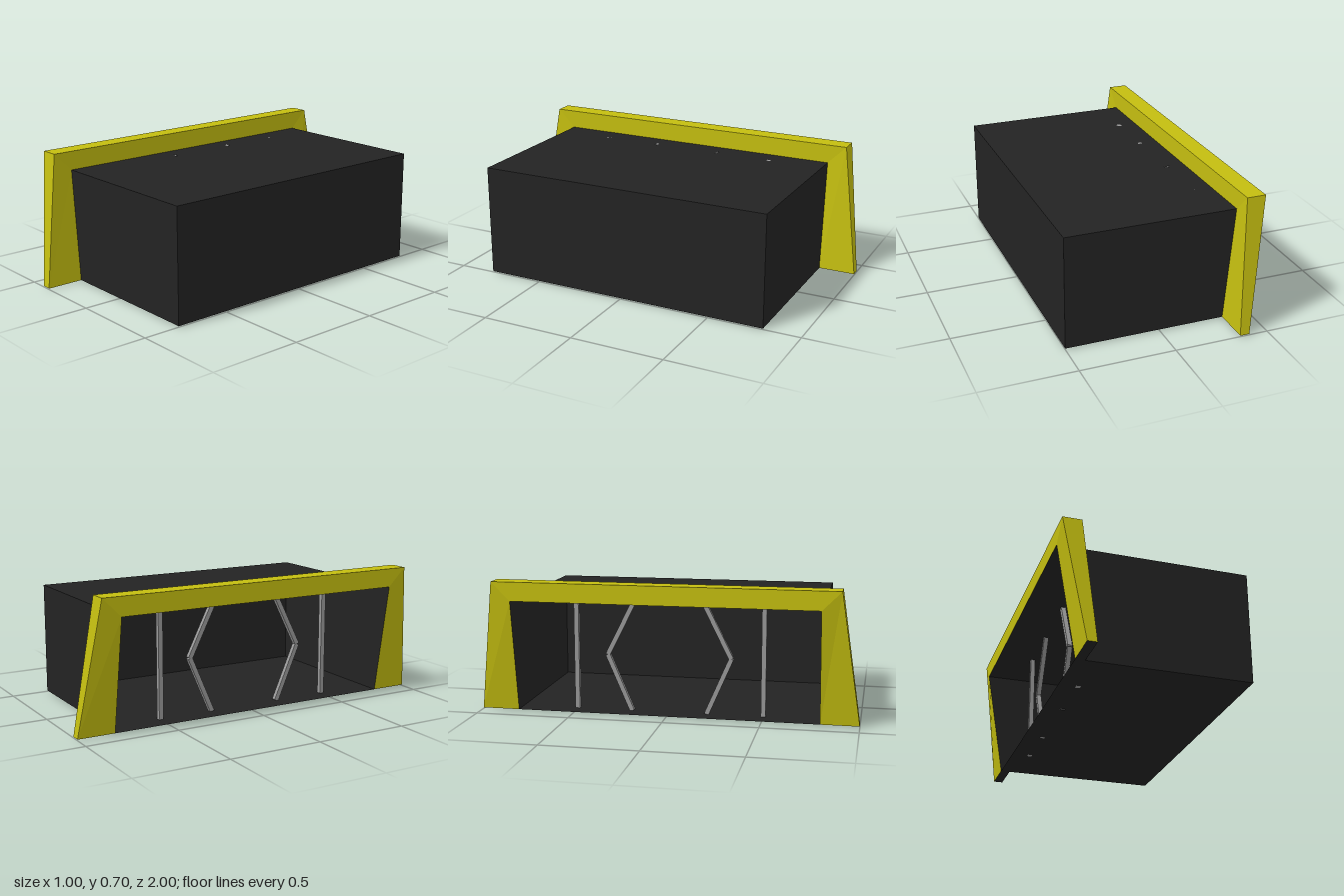
import * as THREE from 'three';

const yellow = new THREE.MeshStandardMaterial({ name: 'frameYellow', color: 0xc4be10, side: THREE.DoubleSide });
const black = new THREE.MeshStandardMaterial({ name: 'shellBlack', color: 0x232323, side: THREE.DoubleSide });
const grey = new THREE.MeshStandardMaterial({ name: 'barGrey', color: 0x999999 });

// flat-shaded geometry from four-cornered faces
function quads(faces) {
  const pos = [];
  for (const [a, b, c, d] of faces) for (const p of [a, b, c, a, c, d]) pos.push(...p);
  const geo = new THREE.BufferGeometry();
  geo.setAttribute('position', new THREE.Float32BufferAttribute(pos, 3));
  geo.computeVertexNormals();
  return geo;
}

function addMesh(group, name, geo, mat) {
  const mesh = new THREE.Mesh(geo, mat);
  mesh.name = name;
  group.add(mesh);
  return mesh;
}

// square bar between two points in the plane x = const
function addBar(group, name, x, [z0, y0], [z1, y1]) {
  const t = 0.025;
  const bar = addMesh(group, name, new THREE.BoxGeometry(t, Math.hypot(z1 - z0, y1 - y0), t), grey);
  bar.position.set(x, (y0 + y1) / 2, (z0 + z1) / 2);
  bar.rotation.x = Math.atan2(z1 - z0, y1 - y0);
}

export function createModel() {
  const model = new THREE.Group();

  // hollow shell, open on its slanted -x side
  const section = [[-0.4, 0], [0.5, 0], [0.5, 0.6], [-0.5, 0.6]];
  const near = section.map(([x, y]) => [x, y, 0.8]);
  const far = section.map(([x, y]) => [x, y, -0.8]);
  const shell = [near, [...far].reverse()];
  for (let i = 0; i < 3; i++) shell.push([near[i], far[i], far[i + 1], near[i + 1]]);
  addMesh(model, 'shell', quads(shell), black);

  // leaning frame: sections of four corners swept up, across and down
  const corner = (z, y, top) => ({ z, y, front: top ? -0.5 : -0.4, back: top ? -0.4 : -0.35 });
  const path = [[1, 0.8, 0], [0.9, 0.8, 1], [-0.9, -0.8, 1], [-1, -0.8, 0]].map(([zo, zi, top]) => {
    const o = corner(zo, top ? 0.7 : 0, top);
    const n = corner(zi, top ? 0.6 : 0, top);
    return [[o.front, o.y, o.z], [o.back, o.y, o.z], [n.back, n.y, n.z], [n.front, n.y, n.z]];
  });
  const faces = [];
  for (let i = 0; i < 3; i++) {
    for (const k of [0, 1, 3]) { // the inner side is lined by the shell
      const m = (k + 1) % 4;
      faces.push([path[i][k], path[i][m], path[i + 1][m], path[i + 1][k]]);
    }
  }
  addMesh(model, 'frame', quads(faces), yellow);

  // dark soles under the frame legs
  addMesh(model, 'legSoles', quads([[...path[0]].reverse(), path[3]]), black);

  // bars inside the opening, mirrored in z
  for (const s of [1, -1]) {
    const bars = new THREE.Group();
    bars.name = s > 0 ? 'barsFront' : 'barsBack';
    addBar(bars, 'straightBar', -0.3, [0.5 * s, 0], [0.5 * s, 0.6]);
    addBar(bars, 'lowerBentBar', -0.3, [0.2 * s, 0], [0.33 * s, 0.3]);
    addBar(bars, 'upperBentBar', -0.3, [0.33 * s, 0.3], [0.18 * s, 0.6]);
    model.add(bars);
  }
  return model;
}
